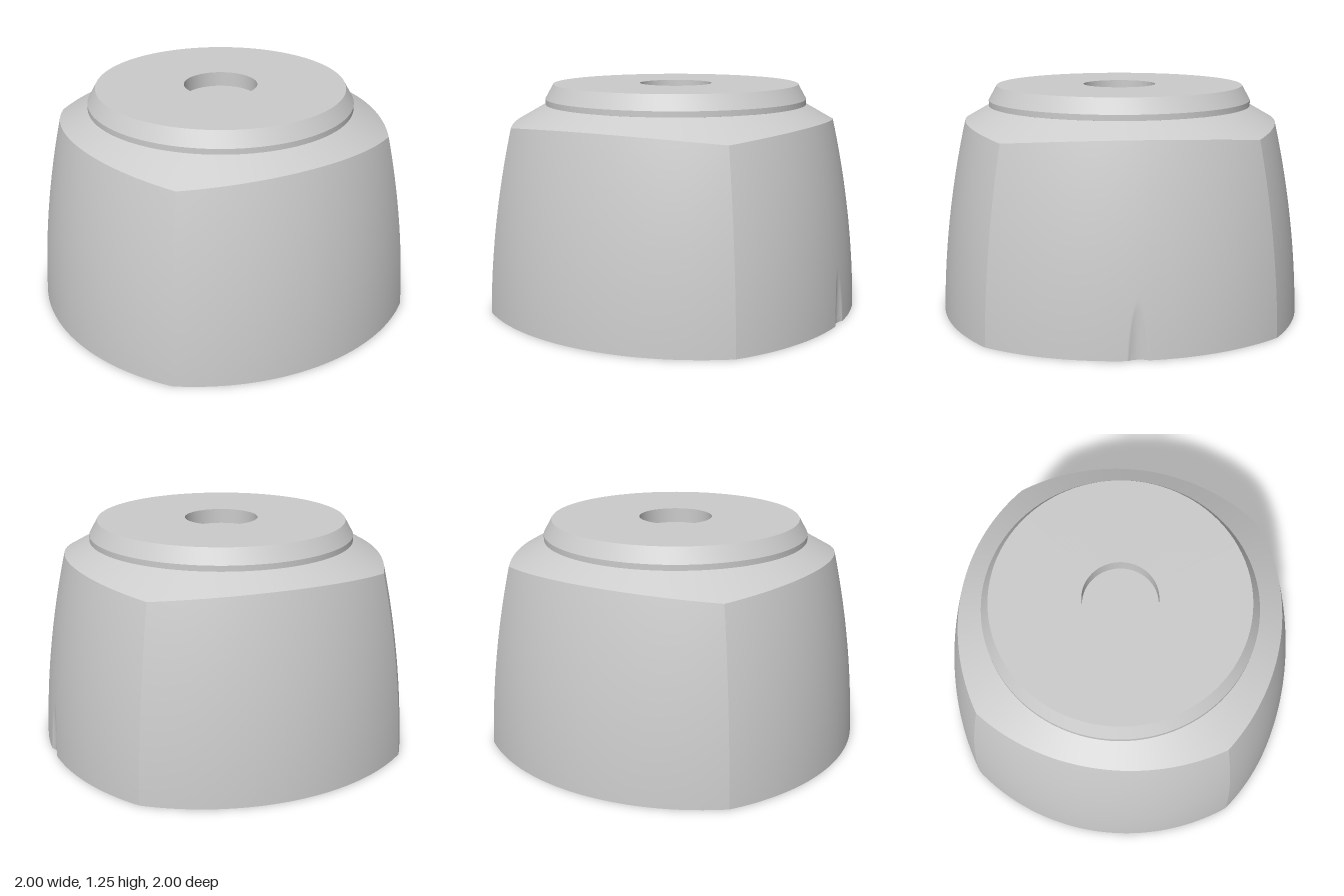
import * as THREE from 'three';
import { toCreasedNormals } from 'three/addons/utils/BufferGeometryUtils.js';

const MAT = new THREE.MeshStandardMaterial({ color: 0xcccccc, side: THREE.DoubleSide });
const CAVITY_R = 0.67, CAVITY_TOP = 0.46, PLATE_Y = 0.03, PLATE_T = 0.04;
const SCREW = 0.672;

// Surface patch from a rule fn(u, v) -> [x, y, z]
function grid(us, vs, fn) {
  const pos = [], idx = [], n = us.length;
  for (const v of vs) for (const u of us) pos.push(...fn(u, v));
  for (let j = 0; j < vs.length - 1; j++) {
    for (let i = 0; i < n - 1; i++) {
      const a = j * n + i, b = a + 1, c = b + n, d = a + n;
      idx.push(a, b, c, a, c, d);
    }
  }
  const g = new THREE.BufferGeometry();
  g.setAttribute('position', new THREE.Float32BufferAttribute(pos, 3));
  g.setIndex(idx);
  g.computeVertexNormals();
  return g;
}
const range = (a, b, n) => Array.from({ length: n + 1 }, (_, i) => a + (b - a) * i / n);

// Each side is a wide arc whose radius shrinks with height
function sideRadius(phi, y) {
  const R = 1.25 - 0.033 * y - 0.098 * y * y;
  return -0.25 * Math.cos(phi) + Math.sqrt(R * R - (0.25 * Math.sin(phi)) ** 2);
}
const coneY = r => 1.131 - 0.57 * (r - 0.73);
function shoulder(phi) {
  let y = 1.05;
  for (let i = 0; i < 12; i++) y = coneY(sideRadius(phi, y));
  return y;
}

// Flat shape in x/z, extruded upward from y
function slab(shape, y, t) {
  const g = new THREE.ExtrudeGeometry(shape, { depth: t, bevelEnabled: false, curveSegments: 64 });
  return toCreasedNormals(g.rotateX(Math.PI / 2).translate(0, y + t, 0), 0.5);
}
function outline(scale) {
  const pts = [];
  for (let q = 0; q < 4; q++) {
    for (const p of range(-Math.PI / 4, Math.PI / 4, 60).slice(0, -1)) {
      const r = sideRadius(p, 0) * scale, a = p + q * Math.PI / 2;
      let x = r * Math.cos(a);
      const z = r * Math.sin(a);
      if (q === 0) x = Math.min(x, 0.983 + 6 * z * z);
      pts.push(new THREE.Vector2(x, z));
    }
  }
  return new THREE.Shape(pts);
}
function addScrewHoles(shape) {
  for (const sx of [-1, 1]) for (const sz of [-1, 1]) {
    shape.holes.push(new THREE.Path().absarc(sx * SCREW, sz * SCREW, 0.033, 0, Math.PI * 2));
  }
  return shape;
}
function dShape(xc) {
  const a = Math.acos(xc / CAVITY_R);
  return new THREE.Shape().absarc(0, 0, CAVITY_R, -a, a);
}
// Round recess with screw bosses at the corners and small tabs between them
function recessPath() {
  const bumps = [];
  for (let k = 0; k < 4; k++) bumps.push([Math.PI / 4 + k * Math.PI / 2, 0.95, 0.12]);
  for (const a of [Math.PI / 2, -Math.PI / 2]) bumps.push([a, 0.92, 0.065]);
  return new THREE.Path(range(0, Math.PI * 2, 360).slice(0, -1).map(t => {
    let r = 0.9;
    for (const [a, d, rad] of bumps) {
      const s = d * Math.sin(t - a), c = Math.cos(t - a);
      if (c > 0 && Math.abs(s) < rad) r = Math.min(r, d * c - Math.sqrt(rad * rad - s * s));
    }
    return new THREE.Vector2(r * Math.cos(t), r * Math.sin(t));
  }));
}

export function createModel() {
  const model = new THREE.Group();
  const add = (name, geo, parent = model) => {
    const m = new THREE.Mesh(geo, MAT);
    m.name = name;
    parent.add(m);
    return m;
  };

  // Four bowed sides with the conical shoulder above; the +x side has a small notch
  const body = new THREE.Group();
  body.name = 'body';
  model.add(body);
  const q = Math.PI / 4;
  const phis = [...range(-q, -0.07, 24), ...range(-0.06, 0.06, 24), ...range(0.07, q, 24)];
  for (let k = 0; k < 4; k++) {
    const side = grid(phis, range(0, 1, 48), (p, t) => {
      const y = t * shoulder(p), r = sideRadius(p, y);
      let x = r * Math.cos(p);
      const z = -r * Math.sin(p);
      if (k === 0) x = Math.min(x, 0.983 + 6 * z * z);
      return [x, y, z];
    });
    const cone = grid(phis, range(0, 1, 4), (p, t) => {
      const r = THREE.MathUtils.lerp(sideRadius(p, shoulder(p)), 0.715, t);
      return [r * Math.cos(p), coneY(r), -r * Math.sin(p)];
    });
    add('bodySide', side, body).rotation.y = k * Math.PI / 2;
    add('shoulder', cone, body).rotation.y = k * Math.PI / 2;
  }

  // Top disc with tapered edge and a central socket
  const profile = [[0.7, 1.13], [0.725, 1.135], [0.725, 1.165], [0.68, 1.245],
    [0.2, 1.245], [0.2, 1.165], [0, 1.165]].map(p => new THREE.Vector2(...p));
  add('topDisc', toCreasedNormals(new THREE.LatheGeometry(profile, 96), 0.3));

  // Bottom rim and the recessed base plate
  const rim = addScrewHoles(outline(0.9985));
  rim.holes.push(recessPath());
  add('bottomRim', slab(rim, 0, PLATE_Y));
  const plate = addScrewHoles(outline(0.985));
  plate.holes.push(dShape(-0.275));
  add('basePlate', slab(plate, PLATE_Y, PLATE_T));
  for (const sx of [-1, 1]) for (const sz of [-1, 1]) {
    add('screwHoleFloor', new THREE.CylinderGeometry(0.04, 0.04, 0.02, 20)
      .translate(sx * SCREW, PLATE_Y + PLATE_T + 0.01, sz * SCREW));
  }

  // D-shaped cavity: round wall, curved sloping wall and ceiling
  const y0 = PLATE_Y + PLATE_T;
  const chordX = t => -0.275 + 0.15 * t * t;
  const levelY = t => y0 + (CAVITY_TOP - y0) * t;
  add('cavityRoundWall', grid(range(-1, 1, 64), range(0, 1, 16), (u, t) => {
    const a = u * Math.acos(chordX(t) / CAVITY_R);
    return [CAVITY_R * Math.cos(a), levelY(t), CAVITY_R * Math.sin(a)];
  }));
  add('cavitySlopedWall', grid(range(1, -1, 8), range(0, 1, 16), (u, t) => {
    const x = chordX(t);
    return [x, levelY(t), u * Math.sqrt(CAVITY_R ** 2 - x * x)];
  }));
  add('cavityCeiling', new THREE.ShapeGeometry(dShape(chordX(1)), 64)
    .rotateX(Math.PI / 2).translate(0, CAVITY_TOP, 0));

  // Post, its supporting boss and a small pad inside the cavity
  add('post', new THREE.CylinderGeometry(0.14, 0.14, 0.14, 40).translate(-0.11, 0.4, 0));
  add('postBoss', new THREE.CylinderGeometry(0.1, 0.1, 0.37, 32).translate(-0.23, 0.255, 0));
  const pad = new THREE.Shape(), h = 0.07, c = 0.05;
  pad.absarc(h, h, c, 0, Math.PI / 2).absarc(-h, h, c, Math.PI / 2, Math.PI)
    .absarc(-h, -h, c, Math.PI, Math.PI * 1.5).absarc(h, -h, c, Math.PI * 1.5, Math.PI * 2);
  add('ceilingPad', slab(pad, CAVITY_TOP - 0.01, 0.01)).position.set(0.04, 0, 0.48);

  return model;
}
